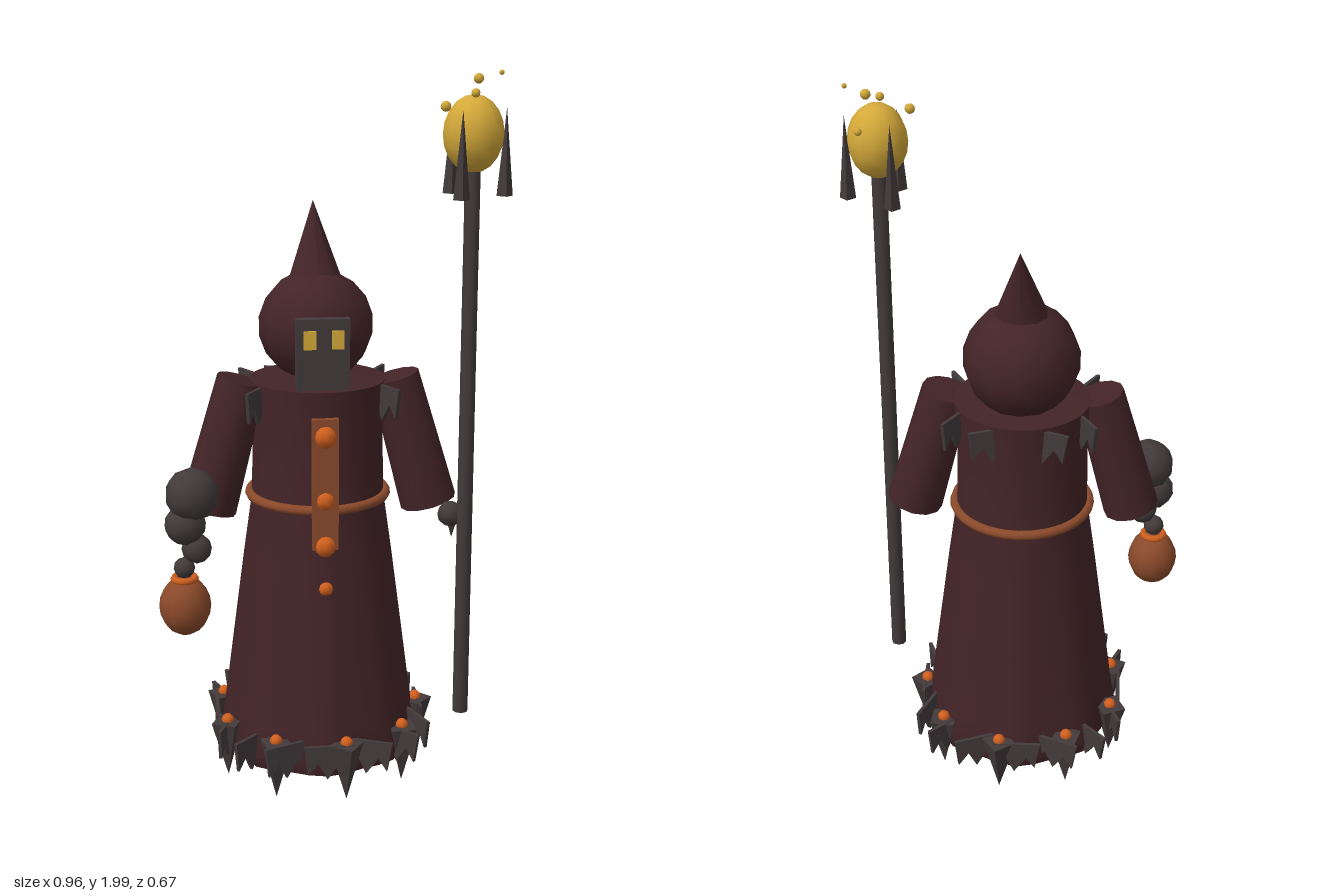
import * as THREE from 'three';
import { toCreasedNormals } from 'three/addons/utils/BufferGeometryUtils.js';

const mat = (name, color) => {
  const m = new THREE.MeshStandardMaterial({ color });
  m.name = name;
  return m;
};

export function createModel() {
  const cloth = mat('dark maroon cloth', 0x432427);
  const iron = mat('charcoal iron', 0x423a3b);
  const leather = mat('rust leather', 0x8b4a2b);
  const ember = mat('ember orange', 0xd2601e);
  const gold = mat('gold glow', 0xd4a93a);

  const root = new THREE.Group();
  root.name = 'hoodedFigure';
  const CX = -0.025; // body axis
  const rad = THREE.MathUtils.degToRad;

  const add = (name, geo, material, x, y, z) => {
    const m = new THREE.Mesh(geo, material);
    m.name = name;
    m.position.set(x, y, z);
    root.add(m);
    return m;
  };
  const ball = (name, r, material, x, y, z, w = 10, h = 8) =>
    add(name, new THREE.SphereGeometry(r, w, h), material, x, y, z);
  const rod = (name, a, b, rA, rB, material, sides) => {
    const d = b.clone().sub(a);
    const geo = toCreasedNormals(new THREE.CylinderGeometry(rB, rA, d.length(), sides), 0.9);
    const m = add(name, geo, material, ...a.clone().add(b).multiplyScalar(0.5));
    m.quaternion.setFromUnitVectors(new THREE.Vector3(0, 1, 0), d.normalize());
    return m;
  };

  // Robe: turned profile with folds that deepen toward the hem
  const profile = [[0, 0.085], [0.268, 0.075], [0.28, 0.11], [0.264, 0.2], [0.238, 0.42],
    [0.21, 0.65], [0.186, 0.83], [0.183, 1.0], [0.19, 1.16], [0, 1.17]];
  const robe = new THREE.LatheGeometry(profile.map(p => new THREE.Vector2(...p)), 32);
  const p = robe.attributes.position;
  for (let i = 0; i < p.count; i++) {
    const x = p.getX(i), y = p.getY(i), z = p.getZ(i);
    const a = Math.atan2(x, z);
    const depth = 0.03 * THREE.MathUtils.clamp((0.9 - y) / 0.7, 0, 1);
    const k = 1 + depth * Math.cos(8 * a);
    p.setXYZ(i, x * k, y, z * k);
  }
  add('robe', toCreasedNormals(robe, 0.7), cloth, CX, 0, 0);

  // Hood with a peak that leans back
  ball('hood', 0.165, cloth, CX, 1.3, -0.04, 12, 9).scale.set(0.98, 0.95, 1.03);
  const peak = new THREE.ConeGeometry(0.085, 0.235, 10, 1, true);
  const shear = new THREE.Matrix4().set(1, 0, 0, 0, 0, 1, 0, 0, 0, -0.34, 1, 0, 0, 0, 0, 1);
  peak.applyMatrix4(shear);
  add('hoodPeak', peak, cloth, CX, 1.52, -0.076);

  // Mask and eyes
  add('mask', new THREE.BoxGeometry(0.145, 0.195, 0.032), iron, CX - 0.002, 1.258, 0.15);
  for (const s of [-1, 1])
    add('eye', new THREE.BoxGeometry(0.033, 0.05, 0.009), gold, CX + s * 0.038, 1.3, 0.17);

  // Belt, front strap and buttons
  const belt = add('belt', new THREE.TorusGeometry(0.192, 0.014, 8, 28), leather, CX, 0.83, 0);
  belt.rotation.x = Math.PI / 2;
  add('frontStrap', new THREE.BoxGeometry(0.072, 0.37, 0.03), leather, CX, 0.905, 0.19);
  for (const [y, z, r] of [[1.04, 0.192, 0.034], [0.86, 0.19, 0.03], [0.73, 0.194, 0.032], [0.61, 0.203, 0.024]])
    ball('button', r, ember, CX, y, z, 8, 6);

  // Tattered scraps around the shoulders and hem
  const ragShape = new THREE.Shape([[-0.07, 0], [-0.055, -0.085], [-0.03, -0.05], [0.005, -0.1],
    [0.03, -0.05], [0.06, -0.085], [0.07, 0]].map(q => new THREE.Vector2(...q)));
  const ragGeo = new THREE.ExtrudeGeometry(ragShape, { depth: 0.01, bevelEnabled: false });
  ragGeo.translate(0, 0, -0.005);
  const rag = (name, deg, r, y) => {
    const a = rad(deg);
    const m = add(name, ragGeo, iron, CX + r * Math.cos(a), y, -r * Math.sin(a));
    m.rotation.y = Math.PI / 2 - a;
  };
  for (let i = 0; i < 16; i++) rag('hemScrap', i * 22.5, 0.295, 0.178);
  for (const deg of [30, 150, 210, 330]) rag('shoulderScrap', deg, 0.2, 1.155);
  for (const deg of [68, 112]) rag('backScrap', deg, 0.185, 1.15);

  // Hanging hem spikes, each topped by an ember bead
  const spikeGeo = new THREE.ConeGeometry(0.05, 0.168, 4).toNonIndexed();
  spikeGeo.computeVertexNormals();
  for (let i = 0; i < 9; i++) {
    const a = rad(i * 40), x = CX + 0.288 * Math.cos(a), z = -0.288 * Math.sin(a);
    const spike = add('hemSpike', spikeGeo, iron, x, 0.092, z);
    spike.rotation.set(Math.PI, -a, 0);
    ball('hemBead', 0.018, ember, x, 0.18, z, 8, 6);
  }

  // Sleeves
  for (const s of [-1, 1])
    rod('sleeve', new THREE.Vector3(CX + s * 0.312, 0.8, 0.035),
      new THREE.Vector3(CX + s * 0.212, 1.165, 0.025), 0.08, 0.07, cloth, 12);

  // Right hand: lumpy knuckles holding a round flask
  for (const [x, y, r] of [[-0.385, 0.875, 0.075], [-0.405, 0.79, 0.058], [-0.375, 0.72, 0.042], [-0.41, 0.665, 0.03]]) {
    const lump = add('rightHand', new THREE.IcosahedronGeometry(r, 1), iron, x, y, 0.147);
    lump.rotation.set(x * 9, y * 5, 0);
  }
  ball('flask', 0.072, leather, -0.41, 0.555, 0.147, 12, 10).scale.y = 1.17;
  const neck = add('flaskNeck', new THREE.TorusGeometry(0.03, 0.01, 6, 14), ember, -0.41, 0.634, 0.147);
  neck.rotation.x = Math.PI / 2;

  // Left hand with a claw
  ball('leftHand', 0.036, iron, 0.335, 0.785, 0.118, 8, 6);
  add('leftClaw', new THREE.ConeGeometry(0.018, 0.06, 6), iron, 0.34, 0.745, 0.118).rotation.x = Math.PI;

  // Staff, glowing orb, prongs and drifting sparks
  const SX = 0.37, SZ = 0.152;
  rod('staff', new THREE.Vector3(SX, 0.2, SZ), new THREE.Vector3(SX, 1.78, SZ), 0.022, 0.021, iron, 8);
  ball('orb', 0.082, gold, SX, 1.838, SZ, 12, 10).scale.y = 1.24;
  const prongGeo = new THREE.ConeGeometry(0.022, 0.23, 4).toNonIndexed();
  prongGeo.computeVertexNormals();
  for (let i = 0; i < 3; i++) {
    const a = rad(i * 120);
    add('prong', prongGeo, iron, SX + 0.087 * Math.cos(a), 1.79, SZ + 0.087 * Math.sin(a));
  }
  for (const [x, y, z, r] of [[0.287, 1.912, 0.196, 0.014], [0.39, 1.977, 0.106, 0.014],
    [0.365, 1.945, 0.192, 0.012], [0.41, 1.885, 0.078, 0.011], [0.447, 1.993, 0.123, 0.007]])
    ball('spark', r, gold, x, y, z, 8, 6);

  return root;
}
